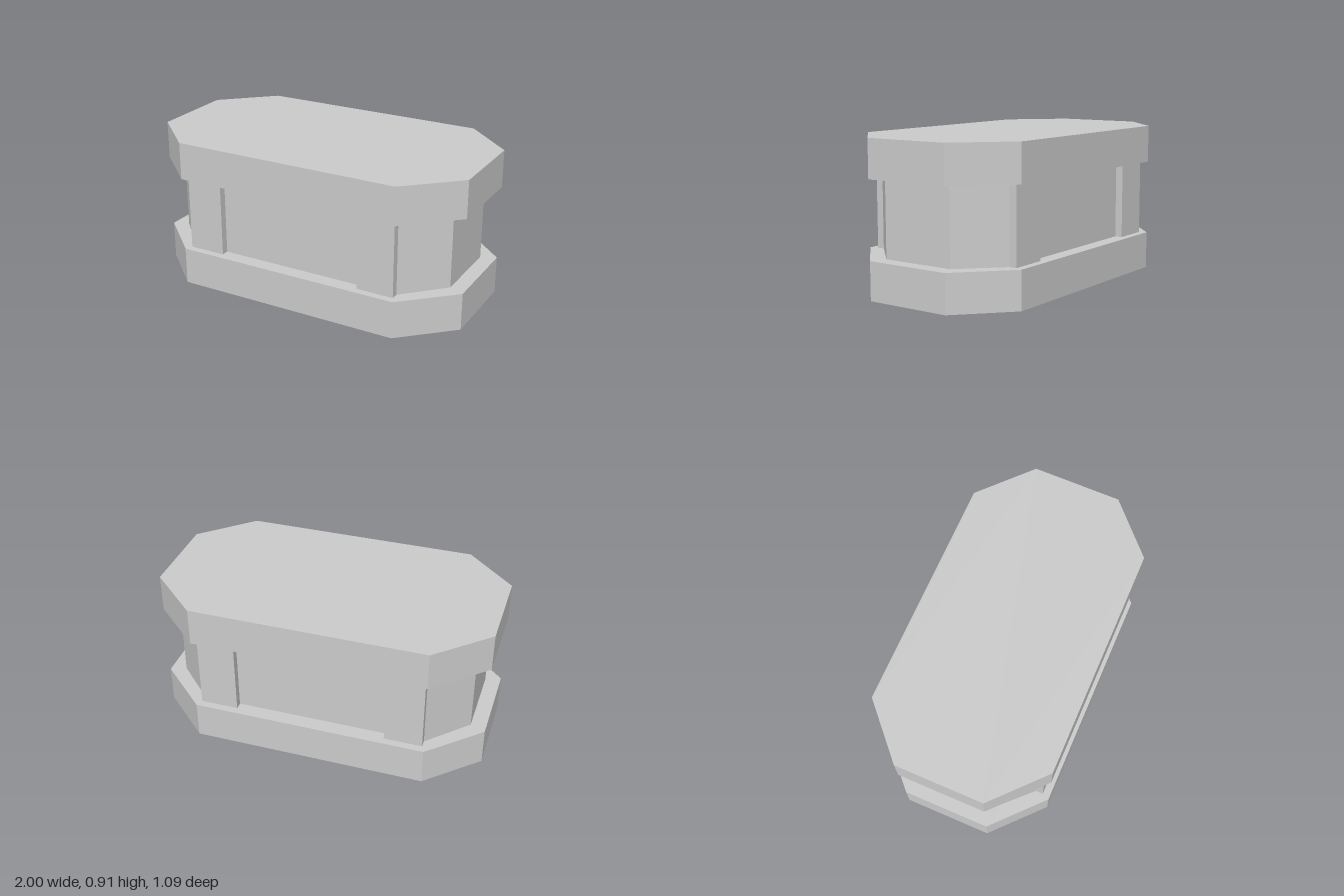
import * as THREE from 'three';

const material = new THREE.MeshStandardMaterial({ color: 0xcccccc, flatShading: true });

// Upright prism with chamfered corners: half sizes x, z and the corner points cx, cz
function chamferedPrism(name, x, z, cx, cz, y0, y1) {
  const outline = [
    [cx, -z], [x, -cz], [x, cz], [cx, z],
    [-cx, z], [-x, cz], [-x, -cz], [-cx, -z],
  ].map(([a, b]) => new THREE.Vector2(a, b));
  const geometry = new THREE.ExtrudeGeometry(new THREE.Shape(outline), {
    depth: y1 - y0, bevelEnabled: false,
  });
  geometry.rotateX(-Math.PI / 2);
  const mesh = new THREE.Mesh(geometry, material);
  mesh.name = name;
  mesh.position.y = y0;
  return mesh;
}

export function createModel() {
  const group = new THREE.Group();
  group.name = 'pedestal';

  // Base and top slabs around a narrower core
  group.add(chamferedPrism('baseSlab', 1, 0.545, 0.7, 0.266, 0, 0.227));
  group.add(chamferedPrism('core', 0.909, 0.455, 0.682, 0.227, 0.227, 0.682));
  group.add(chamferedPrism('topSlab', 1, 0.545, 0.7, 0.266, 0.682, 0.909));

  // Flat pilasters near the corners, front and back
  for (const sx of [-1, 1]) {
    for (const sz of [-1, 1]) {
      const pilaster = new THREE.Mesh(new THREE.BoxGeometry(0.227, 0.455, 0.045), material);
      pilaster.name = (sz > 0 ? 'front' : 'back') + (sx > 0 ? 'Left' : 'Right') + 'Pilaster';
      pilaster.position.set(sx * 0.5685, 0.4545, sz * 0.4775);
      group.add(pilaster);
    }
  }
  return group;
}
